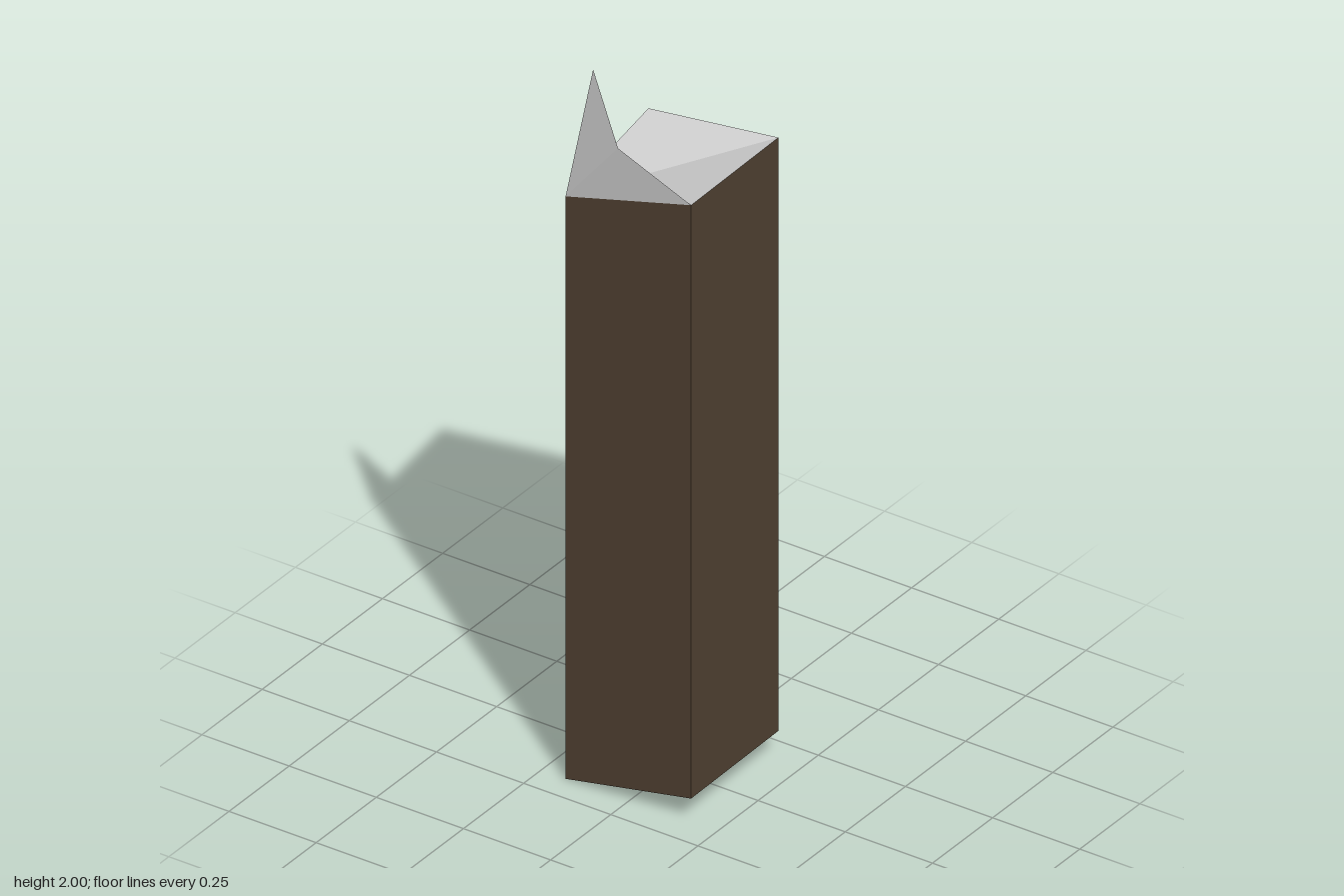
import * as THREE from 'three';

// Footprint corners, anticlockwise from above: x, z, bottom y, top y
const corners = [
  [-0.18, 0.177, 0, 1.61],
  [0.18, 0.177, 0.07, 1.71],
  [0.175, -0.193, 0.07, 1.71],
  [-0.153, -0.128, 0, 1.71],
];
const bottom = corners.map(([x, z, y]) => [x, y, z]);
const top = corners.map(([x, z, , y]) => [x, y, z]);

// Flat-shaded mesh from a list of triangles
function facets(name, triangles, color, side = THREE.FrontSide) {
  const geometry = new THREE.BufferGeometry();
  geometry.setAttribute('position', new THREE.Float32BufferAttribute(triangles.flat(2), 3));
  geometry.computeVertexNormals();
  const mesh = new THREE.Mesh(geometry, new THREE.MeshStandardMaterial({ color, side, flatShading: true }));
  mesh.name = name;
  return mesh;
}

export function createModel() {
  const model = new THREE.Group();
  model.name = 'brokenPost';

  // Four upright bark sides
  const sides = [];
  for (let i = 0; i < 4; i++) {
    const j = (i + 1) % 4;
    sides.push([bottom[i], bottom[j], top[j]], [bottom[i], top[j], top[i]]);
  }
  model.add(facets('postSides', sides, 0x4e3f30));

  // Cut ends: the top folds along its diagonal, the base slopes
  const [a, b, c, d] = top;
  model.add(facets('topFace', [[a, b, c], [a, c, d]], 0xcccccc));
  const [e, f, g, h] = bottom;
  model.add(facets('baseFace', [[e, g, f], [e, h, g]], 0xcccccc));

  // Thin splinter standing on the front top edge
  const tip = [-0.09, 2, 0.193];
  const notch = [-0.02, 1.805, 0.191];
  model.add(facets('splinter', [[a, notch, tip], [a, b, notch]], 0xcccccc, THREE.DoubleSide));

  return model;
}
